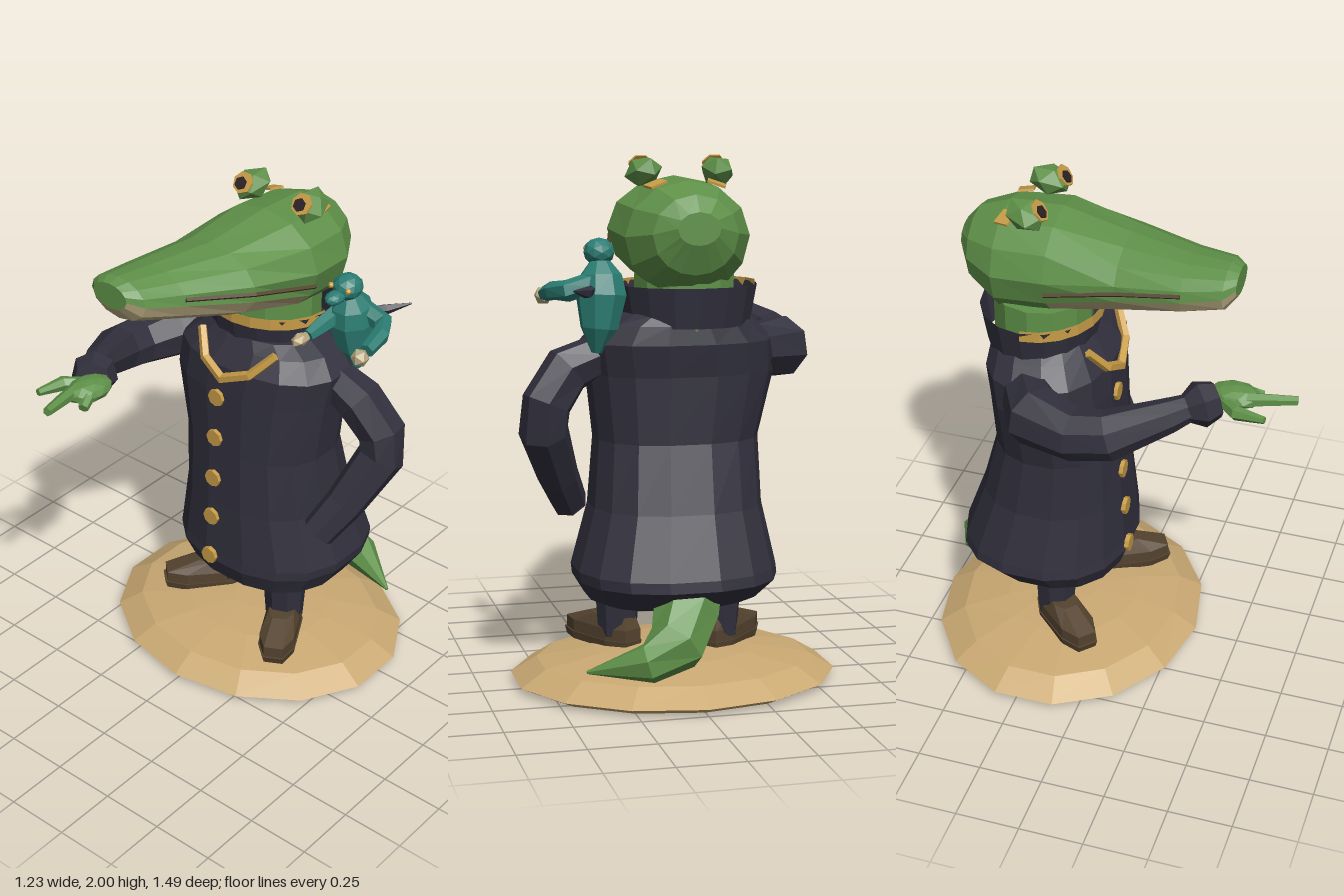
import * as THREE from 'three';

const mat = (name, color) => Object.assign(new THREE.MeshStandardMaterial({ color, flatShading: true }), { name });
const V = (p) => new THREE.Vector3(...p);

// Skin a series of equal-length point rings; colorOf(ring, segment) picks the material group
function loft(rings, colorOf = () => 0) {
  const tris = [[], []], n = rings[0].length;
  const put = (m, ...ps) => ps.forEach((p) => tris[m].push(p.x, p.y, p.z));
  const mid = (r) => r.reduce((s, p) => s.add(p), new THREE.Vector3()).divideScalar(n);
  const first = rings[0], last = rings[rings.length - 1];
  for (let j = 0; j < n; j++) {
    const k = (j + 1) % n;
    for (let i = 0; i < rings.length - 1; i++) {
      const a = rings[i], b = rings[i + 1], m = colorOf(i, j);
      put(m, a[j], a[k], b[k]);
      put(m, a[j], b[k], b[j]);
    }
    put(colorOf(0, j), mid(first), first[k], first[j]);
    put(colorOf(rings.length - 1, j), mid(last), last[j], last[k]);
  }
  const g = new THREE.BufferGeometry();
  g.setAttribute('position', new THREE.Float32BufferAttribute([...tris[0], ...tris[1]], 3));
  g.addGroup(0, tris[0].length / 3, 0);
  g.addGroup(tris[0].length / 3, tris[1].length / 3, 1);
  g.computeVertexNormals();
  return g;
}

// Upright body from rows of [y, xMin, xMax, zMin, zMax]
function stack(rows, n, power = 1) {
  const soft = (v) => Math.sign(v) * Math.abs(v) ** power;
  return loft(rows.map(([y, x0, x1, z0, z1]) => Array.from({ length: n }, (_, j) => {
    const a = ((j + 0.5) / n) * Math.PI * 2;
    return V([(x0 + x1) / 2 + soft(Math.cos(a)) * (x1 - x0) / 2, y, (z0 + z1) / 2 - soft(Math.sin(a)) * (z1 - z0) / 2]);
  })));
}

// Limb along points of [x, y, z, radius]
function limb(path, n = 7) {
  const pts = path.map((p) => V(p.slice(0, 3)));
  const u = new THREE.Vector3(0.31, 0.2, 0.93);
  return loft(pts.map((p, i) => {
    const t = pts[Math.min(i + 1, pts.length - 1)].clone().sub(pts[Math.max(i - 1, 0)]).normalize();
    if (i === 0 && Math.abs(t.dot(u)) > 0.8) u.set(0, 1, 0);
    u.addScaledVector(t, -t.dot(u)).normalize();
    const v = t.clone().cross(u);
    return Array.from({ length: n }, (_, j) => {
      const a = (j / n) * Math.PI * 2, r = path[i][3];
      return p.clone().addScaledVector(u, r * Math.cos(a)).addScaledVector(v, r * Math.sin(a));
    });
  }));
}

export function createModel() {
  const root = new THREE.Group();
  const green = mat('green skin', 0x5f9149), navy = mat('navy cloth', 0x31303d), gold = mat('gold', 0xc79c46);
  const tan = mat('sand', 0xcaa973), cream = mat('cream', 0xbbab83), brown = mat('brown leather', 0x54432f);
  const teal = mat('teal skin', 0x2b7d73), black = mat('dark pupil', 0x2a2024);
  const navyOpen = navy.clone();
  navyOpen.name = 'navy collar cloth';
  const goldOpen = gold.clone();
  goldOpen.name = 'gold trim';
  navyOpen.side = goldOpen.side = THREE.DoubleSide;

  const add = (name, geo, material, pos = [0, 0, 0], parent = root) => {
    const m = new THREE.Mesh(geo, material);
    m.name = name;
    m.position.set(...pos);
    parent.add(m);
    return m;
  };
  const blob = (name, material, pos, scale, rot = [0, 0, 0], detail = 1) => {
    const m = add(name, new THREE.IcosahedronGeometry(1, detail), material, pos);
    m.scale.set(...scale);
    m.rotation.set(...rot);
    return m;
  };

  // Sandy base
  add('base', stack([[0, -0.58, 0.58, -0.7, 0.28], [0.025, -0.63, 0.63, -0.75, 0.325], [0.085, -0.53, 0.53, -0.65, 0.23],
    [0.12, -0.31, 0.31, -0.47, 0.06], [0.132, -0.1, 0.1, -0.3, -0.1]], 14), tan);

  // Long coat
  const coat = [[0.32, -0.24, 0.28, -0.45, -0.08], [0.35, -0.31, 0.35, -0.54, 0.02], [0.43, -0.37, 0.4, -0.64, 0.05],
    [0.47, -0.365, 0.405, -0.635, 0.045], [0.7, -0.32, 0.335, -0.55, 0.03], [0.95, -0.315, 0.31, -0.48, 0.015],
    [1.2, -0.375, 0.34, -0.48, 0], [1.32, -0.365, 0.36, -0.5, -0.01], [1.39, -0.29, 0.3, -0.49, -0.06],
    [1.43, -0.24, 0.22, -0.48, -0.09]];
  add('coat', stack(coat, 16, 0.85), navy);

  // Collar with gold front trim, neck and chain
  const collar = add('collar', new THREE.CylinderGeometry(1.06, 0.95, 0.15, 16, 1, true), navyOpen, [-0.03, 1.455, -0.3]);
  collar.scale.set(0.25, 1, 0.22);
  const trim = add('collarTrim', new THREE.CylinderGeometry(1.05, 1.05, 0.045, 10, 1, true, -Math.PI / 2, Math.PI), goldOpen, [-0.03, 1.517, -0.3]);
  trim.scale.set(0.25, 1, 0.225);
  add('neck', new THREE.CylinderGeometry(0.19, 0.19, 0.2, 12), green, [-0.02, 1.47, -0.3]);
  add('chain', limb([[-0.18, 1.42, -0.07, 0.018], [-0.12, 1.33, -0.015, 0.02], [-0.02, 1.28, 0.005, 0.022],
    [0.1, 1.33, -0.015, 0.02], [0.18, 1.42, -0.07, 0.018]], 5), gold);

  // Buttons down the front, resting on the coat
  for (const y of [1.18, 1.0, 0.815, 0.635, 0.45]) {
    const i = coat.findIndex((r) => r[0] >= y), a = coat[i - 1], b = coat[i];
    const z = a[4] + (b[4] - a[4]) * (y - a[0]) / (b[0] - a[0]);
    add('button', new THREE.CylinderGeometry(0.036, 0.036, 0.03, 8), gold, [-0.05, y, z - 0.005]).rotation.x = Math.PI / 2;
  }

  // Head rows: z, centre x, bottom, top, half width, jaw line angle in degrees
  const head = [[-0.6, 0, 1.69, 1.81, 0.08, -28], [-0.55, 0, 1.58, 1.87, 0.16, -28], [-0.43, 0, 1.5, 1.915, 0.235, -28],
    [-0.22, 0, 1.53, 1.925, 0.255, -28], [0.05, -0.035, 1.595, 1.88, 0.215, -14], [0.3, -0.1, 1.66, 1.87, 0.165, -5],
    [0.45, -0.125, 1.705, 1.875, 0.13, 0], [0.49, -0.13, 1.76, 1.86, 0.08, 0]];
  const onHead = ([z, cx, y0, y1, w], a, out = 1) =>
    V([cx + Math.cos(a) * w * out, (y0 + y1) / 2 + Math.sin(a) * out * (y1 - y0) / 2, z]);
  const headRings = head.map((r) => {
    const a = THREE.MathUtils.degToRad(r[5]);
    return Array.from({ length: 14 }, (_, j) => onHead(r, j <= 8
      ? a + (j / 8) * (Math.PI - 2 * a)
      : Math.PI - a + ((j - 8) / 6) * (Math.PI + 2 * a)));
  });
  add('head', loft(headRings, (i, j) => (j >= 8 && i >= 3 && i < 7 ? 1 : 0)), [green, cream]);

  // Mouth lines and eyes
  for (const s of [-1, 1]) {
    const mouth = head.slice(3, 6).map((r) => {
      const a = THREE.MathUtils.degToRad(r[5] + 14);
      return [...onHead(r, s > 0 ? a : Math.PI - a, 0.995).toArray(), 0.009];
    });
    add('mouthLine', limb(mouth, 4), brown);
    const x = s * 0.14;
    blob('eyelid', green, [x, 1.943, -0.32], [0.066, 0.058, 0.085], [0.3, s * 0.3, -s * 0.2], 0);
    const iris = add('iris', new THREE.CylinderGeometry(0.044, 0.044, 0.008, 7), gold, [x, 1.968, -0.262]);
    const pupil = add('pupil', new THREE.CylinderGeometry(0.026, 0.026, 0.008, 6), black, [x - 0.005, 1.967, -0.254]);
    iris.rotation.x = pupil.rotation.x = 0.95;
    const spot = add('browSpot', new THREE.BoxGeometry(0.07, 0.009, 0.06), gold, [s * 0.115, 1.902, -0.405]);
    spot.rotation.set(-0.1, s * 0.3, -s * 0.3);
  }

  // Pointing right arm with flared cuff and hand
  add('rightArm', limb([[-0.3, 1.27, -0.27, 0.1], [-0.42, 1.27, -0.2, 0.12], [-0.475, 1.26, -0.03, 0.1],
    [-0.47, 1.28, 0.1, 0.095], [-0.38, 1.35, 0.3, 0.065], [-0.33, 1.37, 0.37, 0.05]], 8), navy);
  add('rightCuff', limb([[-0.345, 1.365, 0.35, 0.05], [-0.31, 1.375, 0.4, 0.09], [-0.275, 1.385, 0.45, 0.07]], 7), navy);
  blob('rightPalm', green, [-0.235, 1.39, 0.51], [0.07, 0.042, 0.1], [0, -0.1, 0]);
  add('pointingFinger', limb([[-0.26, 1.395, 0.56, 0.028], [-0.245, 1.4, 0.64, 0.024], [-0.225, 1.405, 0.74, 0.018]], 6), green);
  add('rightThumb', limb([[-0.28, 1.38, 0.48, 0.025], [-0.34, 1.385, 0.54, 0.028], [-0.36, 1.39, 0.65, 0.014]], 6), green);
  add('curledFinger', limb([[-0.2, 1.39, 0.55, 0.025], [-0.18, 1.37, 0.6, 0.02]], 6), green);

  // Left arm bent to the pocket
  add('leftArm', limb([[0.3, 1.27, -0.29, 0.08], [0.42, 1.22, -0.29, 0.095], [0.505, 1.1, -0.32, 0.095],
    [0.515, 0.99, -0.31, 0.095], [0.44, 0.8, -0.19, 0.08], [0.38, 0.68, -0.1, 0.07]], 7), navy);

  // Legs and shoes
  for (const [side, x, z, turn] of [['right', -0.18, -0.22, -0.75], ['left', 0.2, -0.13, 0.5]]) {
    add(side + 'Leg', new THREE.CylinderGeometry(0.095, 0.075, 0.28, 8), navy, [x, 0.3, z]);
    const shoe = new THREE.Group();
    shoe.name = side + 'Shoe';
    shoe.position.set(x, 0, z);
    shoe.rotation.y = turn;
    root.add(shoe);
    add('upper', stack([[0.145, -0.075, 0.075, -0.1, 0.27], [0.19, -0.075, 0.075, -0.1, 0.27],
      [0.235, -0.055, 0.055, -0.08, 0.13]], 8, 0.7), brown, [0, 0, 0], shoe);
    add('sole', stack([[0.115, -0.075, 0.075, -0.1, 0.27], [0.145, -0.08, 0.08, -0.105, 0.28]], 8, 0.7), brown, [0, 0, 0], shoe);
  }

  // Tail curling to the left on the base
  add('tail', limb([[-0.02, 0.44, -0.38, 0.13], [0.03, 0.33, -0.52, 0.125], [0.09, 0.235, -0.62, 0.11],
    [0.2, 0.185, -0.65, 0.075], [0.41, 0.14, -0.56, 0.006]], 7), green);

  // Small companion riding on the left shoulder
  add('companionBody', limb([[0.33, 1.29, -0.38, 0.02], [0.32, 1.38, -0.38, 0.07], [0.31, 1.5, -0.37, 0.095],
    [0.31, 1.57, -0.36, 0.08], [0.31, 1.62, -0.35, 0.04]], 8), teal);
  blob('companionHead', teal, [0.31, 1.655, -0.335], [0.058, 0.052, 0.062]);
  blob('companionSnout', teal, [0.305, 1.635, -0.265], [0.035, 0.026, 0.05]);
  for (const s of [-1, 1]) blob('companionEye', gold, [0.307 + s * 0.04, 1.665, -0.288], [0.013, 0.013, 0.013], [0, 0, 0], 0);
  add('companionOuterArm', limb([[0.34, 1.55, -0.39, 0.04], [0.44, 1.52, -0.39, 0.04], [0.48, 1.515, -0.32, 0.035],
    [0.49, 1.495, -0.22, 0.028]], 6), teal);
  blob('companionOuterHand', cream, [0.49, 1.485, -0.18], [0.036, 0.036, 0.036], [0, 0, 0], 0);
  add('companionInnerArm', limb([[0.28, 1.54, -0.34, 0.04], [0.25, 1.5, -0.26, 0.035], [0.24, 1.48, -0.19, 0.025]], 6), teal);
  blob('companionInnerHand', cream, [0.235, 1.48, -0.15], [0.03, 0.025, 0.05], [0, 0, 0], 0);
  add('companionTail', limb([[0.34, 1.53, -0.4, 0.012], [0.385, 1.52, -0.48, 0.022], [0.45, 1.535, -0.56, 0.003]], 5), navy);

  return root;
}
